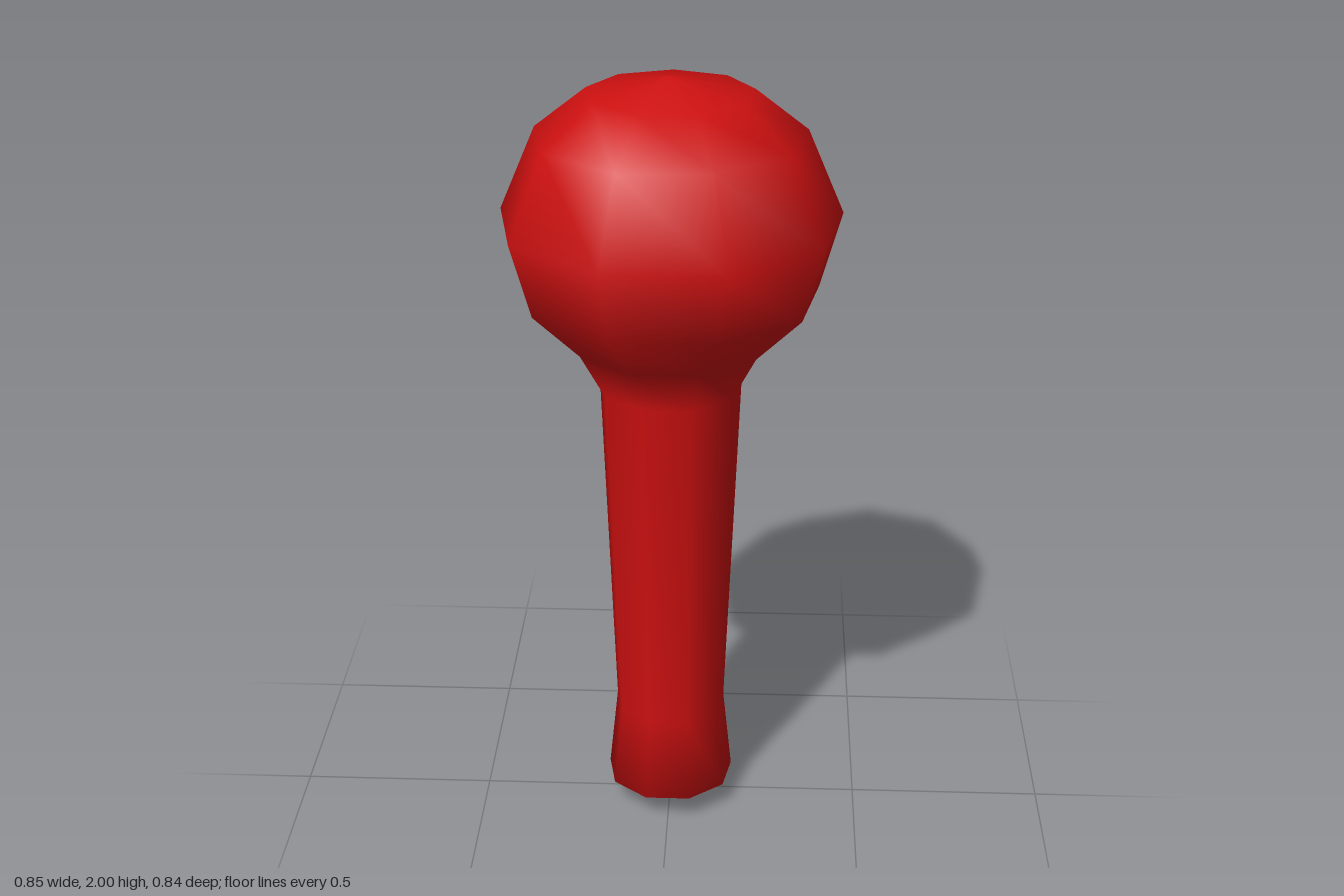
import * as THREE from 'three';

export function createModel() {
  const group = new THREE.Group();
  const material = new THREE.MeshStandardMaterial({ color: 0xcc1010 });

  // Profile as [radius, height], from the pointed foot up to the crown
  const profile = [
    [0, 0], [0.168, 0.07], [0.145, 0.29], [0.183, 1.205], [0.25, 1.325],
    [0.376, 1.45], [0.432, 1.64], [0.34, 1.855], [0.208, 1.96], [0, 2],
  ].map(([r, y]) => new THREE.Vector2(r, y));

  // Nine-sided turned pin, one corner pointing to the back
  const pin = new THREE.Mesh(new THREE.LatheGeometry(profile, 9, Math.PI), material);
  pin.name = 'roundHeadedPin';
  pin.position.z = 0.013;
  group.add(pin);

  return group;
}
